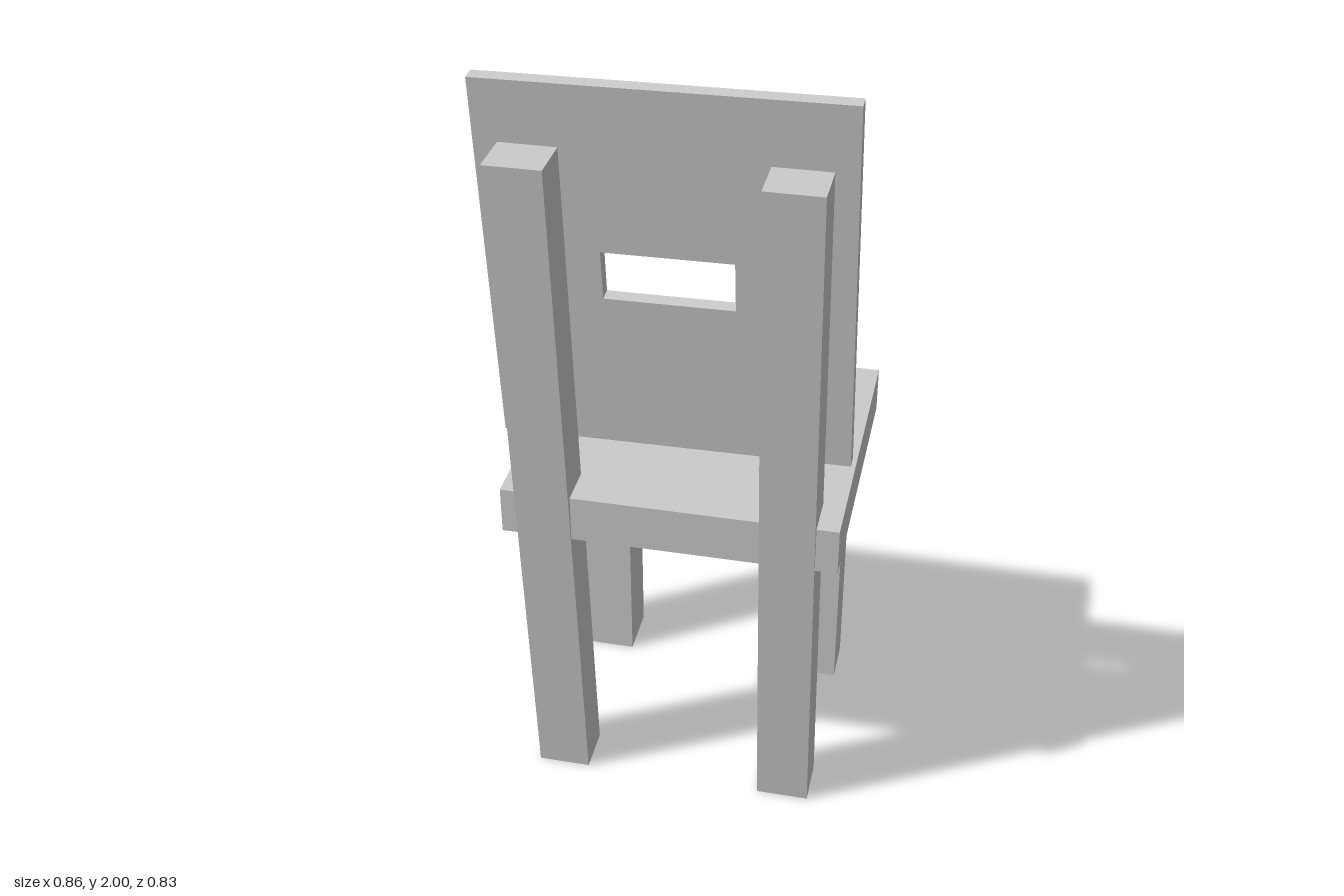
import * as THREE from 'three';

const material = new THREE.MeshStandardMaterial({ color: 0xcccccc, flatShading: true });

function addMesh(group, name, geometry) {
  const mesh = new THREE.Mesh(geometry, material);
  mesh.name = name;
  group.add(mesh);
  return mesh;
}

// Box given by its limits on each axis
function addBox(group, name, [x0, x1], [y0, y1], [z0, z1]) {
  const mesh = addMesh(group, name, new THREE.BoxGeometry(x1 - x0, y1 - y0, z1 - z0));
  mesh.position.set((x0 + x1) / 2, (y0 + y1) / 2, (z0 + z1) / 2);
  return mesh;
}

export function createModel() {
  const chair = new THREE.Group();
  chair.name = 'chair';

  // Seat slab
  addBox(chair, 'seat', [-0.41, 0.42], [0.815, 0.937], [-0.415, 0.327]);

  // Upright legs (one slightly deeper) and raked posts that carry the backrest
  const sides = [
    { side: 'left', x: [0.23, 0.365], legZ: [-0.36, -0.237] },
    { side: 'right', x: [-0.37, -0.235], legZ: [-0.38, -0.237] },
  ];
  for (const { side, x, legZ } of sides) {
    addBox(chair, `${side}Leg`, x, [0, 0.815], legZ);

    // Level ends: the box is sheared in z rather than rotated
    const post = addBox(chair, `${side}BackPost`, x, [0, 1.84], [0.145, 0.265]);
    post.geometry.applyMatrix4(new THREE.Matrix4().makeShear(0, 0, 0, 0.15 / 1.84, 0, 0));
    post.geometry.computeVertexNormals();
    post.position.z += 0.075;
  }

  // Backrest panel with hand slot, leaning back and very slightly crooked
  const rect = (Type, w, h) => new Type([[-w, -h], [w, -h], [w, h], [-w, h]]
    .map(([x, y]) => new THREE.Vector2(x / 2, y / 2)));
  const panel = rect(THREE.Shape, 0.845, 0.938);
  panel.holes.push(rect(THREE.Path, 0.306, 0.123));
  const depth = 0.035;
  const geometry = new THREE.ExtrudeGeometry(panel, { depth, bevelEnabled: false });
  geometry.translate(0, 0, -depth / 2);
  const backrest = addMesh(chair, 'backrest', geometry);
  backrest.position.set(-0.001, 1.525, 0.249);
  backrest.rotation.set(0.078, 0, 0.011);

  return chair;
}
